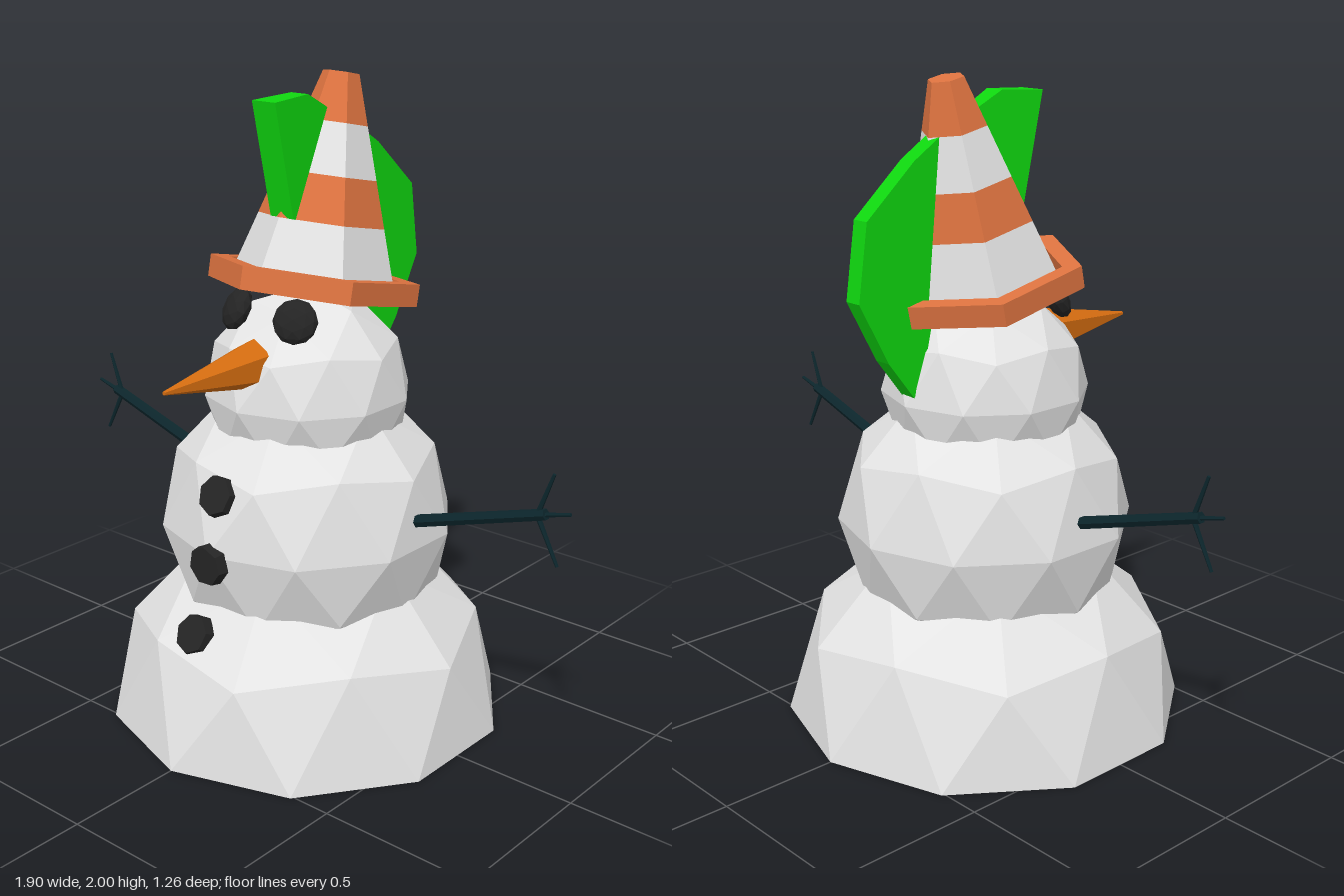
import * as THREE from 'three';

const mat = (name, color) => {
  const m = new THREE.MeshStandardMaterial({ color, flatShading: true });
  m.name = name;
  return m;
};

export function createModel() {
  const snow = mat('snow', 0xe4e4e4);
  const orange = mat('coneOrange', 0xdd7340);
  const green = mat('finGreen', 0x0fd60f);
  const carrot = mat('carrot', 0xd46c10);
  const coal = mat('coal', 0x242424);
  const twig = mat('twig', 0x0c262c);

  const model = new THREE.Group();
  const add = (name, geo, material, parent = model) => {
    const mesh = new THREE.Mesh(geo, material);
    mesh.name = name;
    parent.add(mesh);
    return mesh;
  };

  // Once-divided icosahedron with its poles on the y axis
  function snowball(radius) {
    const verts = [0, 1, 0], faces = [];
    for (const side of [1, -1]) {
      for (let i = 0; i < 5; i++) {
        const a = (i * 2 + (side < 0 ? 1 : 0)) * Math.PI / 5;
        verts.push(Math.cos(a) * 0.8944, side * 0.4472, Math.sin(a) * 0.8944);
      }
    }
    verts.push(0, -1, 0);
    for (let i = 0; i < 5; i++) {
      const j = (i + 1) % 5;
      const u = 1 + i, u2 = 1 + j, l = 6 + i, l2 = 6 + j;
      faces.push(0, u2, u, u, u2, l, l, u2, l2, 11, l, l2);
    }
    return new THREE.PolyhedronGeometry(verts, faces, radius, 1);
  }

  // Body: a half ball flattened on the ground, then two whole balls
  const base = snowball(0.63);
  const p = base.attributes.position;
  for (let i = 0; i < p.count; i++) p.setY(i, Math.max(0, p.getY(i)));
  add('baseSnowball', base, snow);
  add('middleSnowball', snowball(0.46), snow).position.y = 0.64;
  add('head', snowball(0.32), snow).position.y = 1.05;

  // Place a part so that its +z side faces along the given direction
  const face = (mesh, pos, dir) => {
    mesh.position.set(...pos);
    mesh.lookAt(pos[0] + dir[0], pos[1] + dir[1], pos[2] + dir[2]);
  };

  // Eyes
  for (const s of [1, -1]) {
    const eye = add(s > 0 ? 'leftEye' : 'rightEye',
      new THREE.IcosahedronGeometry(1, 1).scale(0.068, 0.068, 0.035), coal);
    face(eye, [s * 0.115, 1.32, 0.19], [s * 0.45, 0.45, 0.8]);
  }

  // Buttons
  const buttons = [
    [[0, 0.815, 0.405], [0, 0.4, 0.9]],
    [[0.005, 0.615, 0.457], [0, 0, 1]],
    [[-0.045, 0.375, 0.47], [-0.05, 0.5, 0.9]],
  ];
  buttons.forEach(([pos, dir], i) => {
    const geo = new THREE.CylinderGeometry(0.06, 0.066, 0.035, 7).rotateX(Math.PI / 2).rotateZ(i * 0.5);
    face(add('button', geo, coal), pos, dir);
  });

  // Nose
  const nose = add('nose', new THREE.CylinderGeometry(0.006, 0.076, 0.37, 6)
    .rotateY(Math.PI).rotateX(Math.PI / 2), carrot);
  nose.position.set(0, 1.183, 0.427);

  // Arms: a stick and three fingers on each side
  const stick = (name, a, b, r0, r1, parent) => {
    const from = new THREE.Vector3(...a, 0), to = new THREE.Vector3(...b, 0);
    const dir = to.clone().sub(from);
    const mesh = add(name, new THREE.CylinderGeometry(r1, r0, dir.length(), 6), twig, parent);
    mesh.position.copy(from).add(to).multiplyScalar(0.5);
    mesh.quaternion.setFromUnitVectors(new THREE.Vector3(0, 1, 0), dir.normalize());
  };
  for (const s of [1, -1]) {
    const arm = new THREE.Group();
    arm.name = s > 0 ? 'leftArm' : 'rightArm';
    model.add(arm);
    stick('armStick', [s * 0.38, 0.71], [s * 0.868, 0.864], 0.02, 0.017, arm);
    for (const [x, y] of [[0.889, 0.988], [0.947, 0.884], [0.912, 0.718]]) {
      stick('finger', [s * 0.84, 0.855], [s * x, y], 0.008, 0.005, arm);
    }
  }

  // Hat: six-sided traffic cone tipped backwards
  const hat = new THREE.Group();
  hat.name = 'hat';
  hat.position.set(0, 1.385, -0.0225);
  hat.rotation.x = -0.208;
  model.add(hat);

  const hexagon = (r) => Array.from({ length: 6 }, (_, i) => {
    const a = Math.PI / 2 + i * Math.PI / 3;
    return new THREE.Vector2(Math.cos(a) * r, Math.sin(a) * r);
  });
  const brim = new THREE.Shape(hexagon(0.322));
  brim.holes.push(new THREE.Path(hexagon(0.262).reverse()));
  add('brim', new THREE.ExtrudeGeometry(brim, { depth: 0.068, bevelEnabled: false })
    .translate(0, 0, -0.034).rotateX(-Math.PI / 2), orange, hat);

  // Cone bands, alternating in colour
  const levels = [-0.005, 0.18, 0.318, 0.473, 0.62];
  const radius = (y) => 0.249 - 0.313 * y;
  for (let i = 0; i < 4; i++) {
    const y0 = levels[i], y1 = levels[i + 1];
    const open = i === 1 || i === 2;
    add('coneBand', new THREE.CylinderGeometry(radius(y1), radius(y0), y1 - y0, 6, 1, open),
      i % 2 ? orange : snow, hat).position.y = (y0 + y1) / 2;
  }

  // Fins: profiles in the side plane, given as [z, y]
  const fin = (points, half) => new THREE.ExtrudeGeometry(
    new THREE.Shape(points.map(([z, y]) => new THREE.Vector2(z, y))),
    { depth: half * 2, bevelEnabled: false }).translate(0, 0, -half).rotateY(-Math.PI / 2);

  // Front fin, thinner towards the cone
  const front = fin([[0.192, 1.94], [0.037, 1.948], [-0.058, 1.9], [-0.1, 1.87], [0.05, 1.58], [0.116, 1.598]], 1);
  const f = front.attributes.position;
  for (let i = 0; i < f.count; i++) {
    const back = 0.19 - 0.218 * (1.937 - f.getY(i)) - f.getZ(i);
    f.setX(i, f.getX(i) * (0.044 - 0.075 * Math.max(0, back)));
  }
  add('frontFin', front, green);

  // Back fin, curving down behind the head
  add('backFin', fin([[-0.16, 1.857], [-0.296, 1.772], [-0.47, 1.62], [-0.503, 1.39],
    [-0.4, 1.2], [-0.307, 1.08], [-0.27, 1.15], [-0.2, 1.45]], 0.029), green);

  return model;
}
